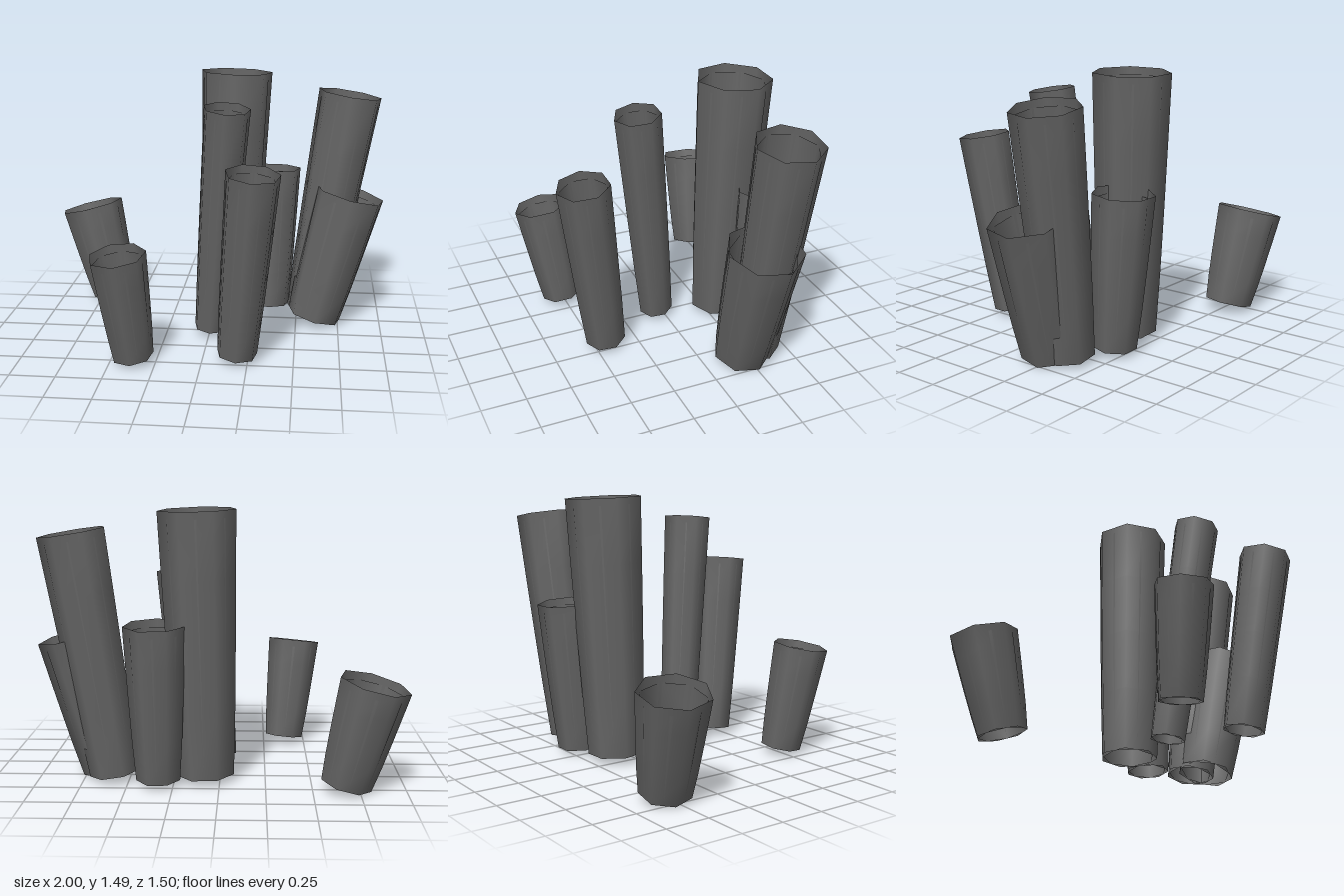
import * as THREE from 'three';

const SIDES = 7;
const UP = new THREE.Vector3(0, 1, 0);

// Open flaring wall along +y, slightly swollen between its two rims
function wallGeometry(rBottom, rTop, length, turn) {
  const geo = new THREE.CylinderGeometry(1, 1, length, SIDES, 4, true, turn);
  const pos = geo.attributes.position;
  for (let i = 0; i < pos.count; i++) {
    const t = THREE.MathUtils.clamp(pos.getY(i) / length + 0.5, 0, 1);
    const r = THREE.MathUtils.lerp(rBottom, rTop, Math.pow(t, 0.8));
    pos.setX(i, pos.getX(i) * r);
    pos.setZ(i, pos.getZ(i) * r);
  }
  geo.translate(0, length / 2, 0);
  geo.computeVertexNormals();
  // keep the seam smooth by sharing the normal of its two columns
  const n = geo.attributes.normal;
  const row = SIDES + 1;
  for (let k = 0; k < pos.count; k += row) {
    const a = new THREE.Vector3().fromBufferAttribute(n, k);
    a.add(new THREE.Vector3().fromBufferAttribute(n, k + SIDES)).normalize();
    n.setXYZ(k, a.x, a.y, a.z);
    n.setXYZ(k + SIDES, a.x, a.y, a.z);
  }
  return geo;
}

export function createModel() {
  const group = new THREE.Group();
  group.name = 'tubeCluster';
  const grey = new THREE.MeshStandardMaterial({ color: 0x666666, side: THREE.DoubleSide });
  grey.name = 'dark grey';

  // name, bottom centre, bottom radius, top centre, top radius
  const tubes = [
    ['tallestTube', [0.08, 0.03, -0.33], 0.162, [0.12, 1.475, -0.375], 0.214],
    ['tallLeaningTube', [0.58, 0.03, -0.32], 0.14, [0.79, 1.355, -0.355], 0.188],
    ['wideLeaningTube', [0.61, 0.03, -0.225], 0.162, [0.8, 0.785, -0.24], 0.21],
    ['backTube', [0.33, 0.025, -0.43], 0.122, [0.34, 0.875, -0.49], 0.17],
    ['frontTube', [0.19, 0.035, 0.435], 0.113, [0.275, 1.07, 0.565], 0.148],
    ['slimTube', [0.01, 0.035, 0.045], 0.097, [0.11, 1.345, 0.19], 0.132],
    ['shortFrontTube', [-0.375, 0.03, 0.51], 0.115, [-0.435, 0.625, 0.595], 0.157],
    ['shortBackTube', [-0.675, 0.035, -0.525], 0.14, [-0.815, 0.587, -0.57], 0.194],
  ];

  for (const [name, b, rb, t, rt] of tubes) {
    const bottom = new THREE.Vector3(...b);
    const axis = new THREE.Vector3(...t).sub(bottom);
    const length = axis.length();
    const tube = new THREE.Group();
    tube.name = name;

    const outer = new THREE.Mesh(wallGeometry(rb, rt, length, 0), grey);
    outer.name = 'outerWall';

    // inner lining, turned by half a side and ending just below the rim
    const inner = new THREE.Mesh(wallGeometry(rb * 0.9, rt * 0.91, length - 0.04, Math.PI / SIDES), grey);
    inner.name = 'innerLining';

    tube.add(outer, inner);
    tube.position.copy(bottom);
    tube.quaternion.setFromUnitVectors(UP, axis.normalize());
    group.add(tube);
  }
  return group;
}
